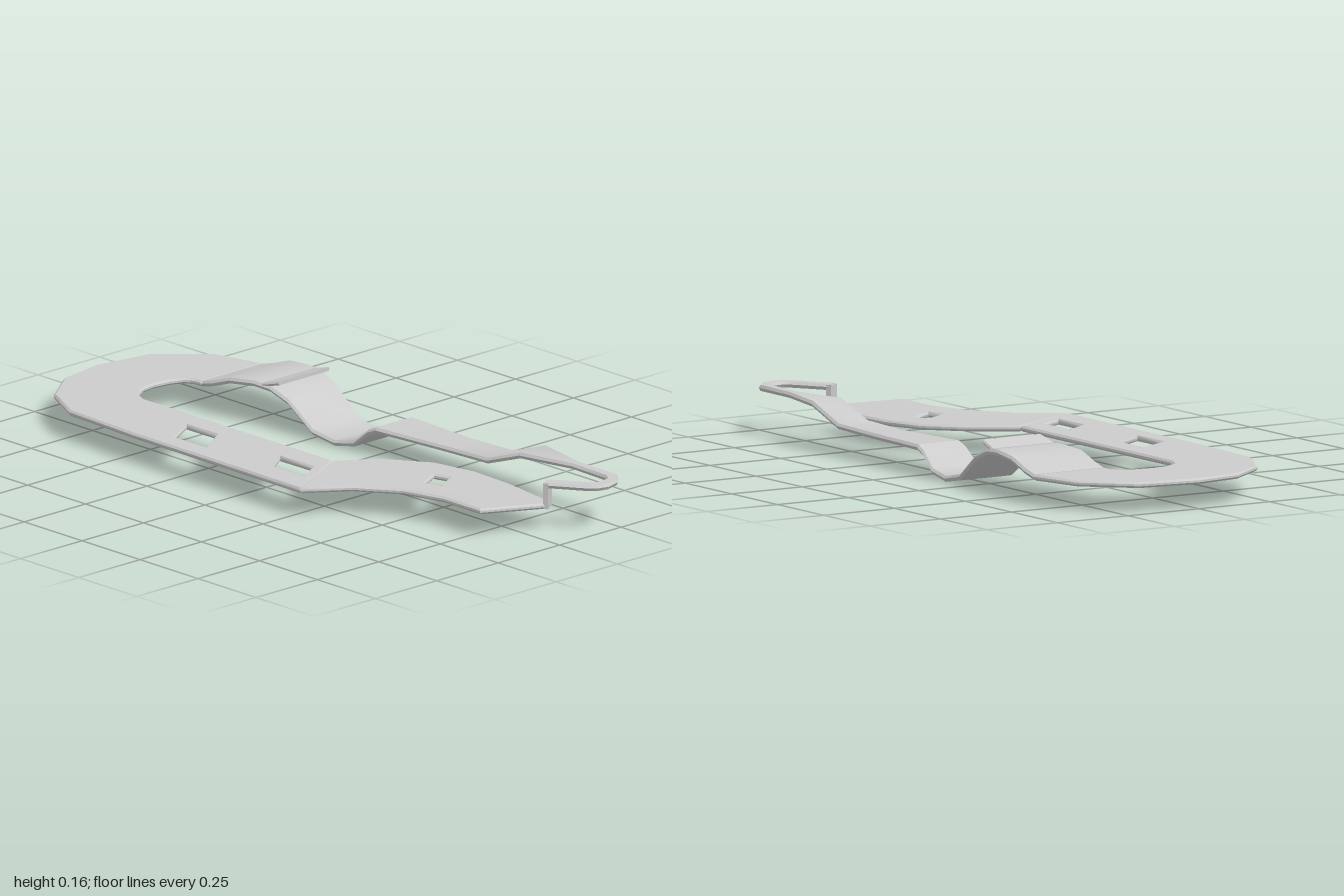
import * as THREE from 'three';
import { toCreasedNormals } from 'three/addons/utils/BufferGeometryUtils.js';

const THICK = 0.018, BEVEL = 0.006, TOP = 0.091;
const material = new THREE.MeshStandardMaterial({ color: 0xcccccc, side: THREE.DoubleSide });

function part(name, geometry) {
  const mesh = new THREE.Mesh(toCreasedNormals(geometry, 0.7), material);
  mesh.name = name;
  return mesh;
}

// Flat plate from an [x, z] outline, with bevelled rim and window holes
function plate(outline, holes) {
  const toPoints = (list) => list.map(([x, z]) => new THREE.Vector2(x, -z));
  const shape = new THREE.Shape(toPoints(outline));
  shape.holes = holes.map((h) => new THREE.Path(toPoints(h)));
  const geo = new THREE.ExtrudeGeometry(shape, {
    depth: THICK - 2 * BEVEL, bevelThickness: BEVEL, bevelSize: BEVEL, bevelOffset: -BEVEL, bevelSegments: 1,
  });
  return geo.rotateX(-Math.PI / 2).translate(0, TOP - THICK + BEVEL, 0);
}

// Solid ribbon through stations [outerX, outerZ, innerX, innerZ, topY]
function ribbon(stations, thick = THICK, inset = 0.006) {
  const pos = [], index = [], N = 6;
  for (const [ox, oz, ix, iz, y] of stations) {
    const f = inset / Math.hypot(ox - ix, oz - iz);
    for (const [t, h] of [[f, 0], [1 - f, 0], [1, 0.45], [1 - f, 1], [f, 1], [0, 0.45]]) {
      pos.push(ox + (ix - ox) * t, y - thick * h, oz + (iz - oz) * t);
    }
  }
  const last = (stations.length - 1) * N;
  for (let s = 0; s < last; s += N) {
    for (let j = 0; j < N; j++) {
      const k = (j + 1) % N;
      index.push(s + j, s + N + j, s + N + k, s + j, s + N + k, s + k);
    }
  }
  for (let j = 1; j < N - 1; j++) index.push(0, j, j + 1, last, last + j + 1, last + j);
  const geo = new THREE.BufferGeometry();
  geo.setAttribute('position', new THREE.Float32BufferAttribute(pos, 3));
  geo.setIndex(index);
  return geo;
}

export function createModel() {
  const group = new THREE.Group();
  group.name = 'track';

  // Wide U-bend and long straight, with two windows
  group.add(part('mainDeck', plate([
    [0.37, -0.67], [0.328, -0.84], [0.19, -0.97], [0, -1], [-0.155, -0.975], [-0.285, -0.88],
    [-0.36, -0.735], [-0.373, -0.45], [-0.375, 0.28], [-0.12, 0.15], [-0.12, -0.66],
    [-0.1, -0.71], [-0.05, -0.742], [0, -0.75], [0.06, -0.742], [0.1, -0.725], [0.115, -0.7], [0.115, -0.67],
  ], [
    [[-0.305, -0.335], [-0.2, -0.395], [-0.2, -0.27], [-0.305, -0.2]],
    [[-0.285, 0.07], [-0.207, 0.015], [-0.207, 0.15], [-0.285, 0.197]],
  ])));

  // Curved deck with one window, leaning down towards its inner side
  const curve = plate([
    [-0.375, 0.28], [-0.25, 0.37], [-0.16, 0.5], [-0.125, 0.63], [-0.125, 0.79], [0.07, 0.86],
    [0.105, 0.845], [0.13, 0.65], [0.13, 0.5], [0.095, 0.36], [0, 0.235], [-0.12, 0.15],
  ], [[[-0.065, 0.487], [0.015, 0.445], [0.03, 0.49], [-0.05, 0.54]]]);
  const p = curve.attributes.position;
  for (let i = 0; i < p.count; i++) {
    const lean = THREE.MathUtils.clamp((p.getX(i) + 0.14) / 0.24, 0, 1);
    const along = THREE.MathUtils.clamp((p.getZ(i) - 0.15) / 0.6, 0, 1);
    p.setY(i, p.getY(i) - 0.012 * lean * along);
  }
  group.add(part('curvedDeck', curve));

  // Upright step joining the curved deck to the raised hairpin
  const step = new THREE.BoxGeometry(0.04, 0.08, 0.016);
  step.rotateY(Math.atan2(0.02, 0.035)).translate(0.09, 0.103, 0.852);
  group.add(part('step', step));

  // Raised narrow hairpin widening down to the return lane
  group.add(part('hairpinAndLane', ribbon([
    [0.07, 0.86, 0.107, 0.84, 0.145], [0.14, 0.965, 0.17, 0.935, 0.145], [0.165, 0.99, 0.185, 0.954, 0.145],
    [0.2, 1, 0.208, 0.957, 0.145], [0.25, 0.988, 0.237, 0.95, 0.145], [0.287, 0.945, 0.25, 0.93, 0.145],
    [0.29, 0.78, 0.255, 0.78, 0.145], [0.327, 0.6, 0.213, 0.6, 0.145], [0.327, 0.46, 0.212, 0.46, 0.096],
    [0.327, 0.28, 0.21, 0.28, TOP], [0.338, 0.01, 0.183, 0.01, TOP],
  ])));

  // Dip, hump and descent back to the wide bend
  group.add(part('dipAndHump', ribbon([
    [0.338, 0.01, 0.183, 0.01, TOP], [0.34, -0.02, 0.18, -0.02, 0.078], [0.343, -0.075, 0.173, -0.075, 0.032],
    [0.346, -0.15, 0.166, -0.15, 0.018], [0.35, -0.235, 0.156, -0.235, 0.034], [0.355, -0.33, 0.147, -0.33, 0.106],
    [0.36, -0.4, 0.139, -0.4, 0.133], [0.364, -0.46, 0.13, -0.46, 0.138], [0.37, -0.55, 0.116, -0.55, 0.129],
    [0.371, -0.62, 0.115, -0.62, 0.104], [0.37, -0.67, 0.115, -0.67, TOP],
  ])));

  // Upturned lip on the hump
  group.add(part('jumpLip', ribbon([
    [0.352, -0.365, 0.143, -0.365, 0.155], [0.358, -0.43, 0.136, -0.43, 0.137],
  ], 0.012, 0.004)));

  return group;
}
